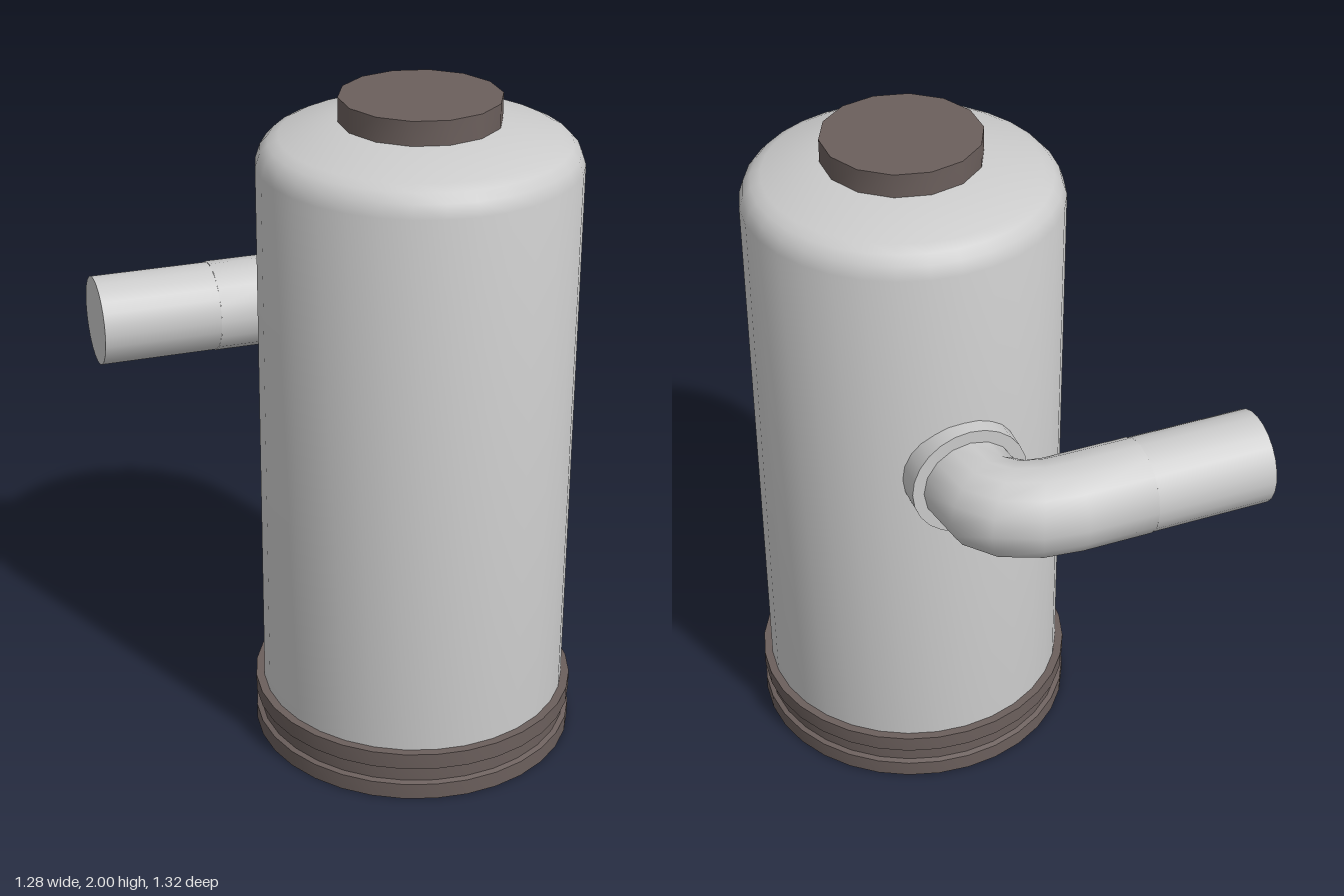
import * as THREE from 'three';
import { toCreasedNormals } from 'three/addons/utils/BufferGeometryUtils.js';

const CX = 0.155, CZ = 0.17, PIPE_Y = 1.145, PIPE_R = 0.14;
const grey = new THREE.MeshStandardMaterial({ color: 0xcccccc });
const brown = new THREE.MeshStandardMaterial({ color: 0x6b5f5c });

function part(name, geometry, material, x, y, z) {
  const mesh = new THREE.Mesh(geometry, material);
  mesh.name = name;
  mesh.position.set(x, y, z);
  return mesh;
}

// Turned part from [radius, height] pairs, listed bottom to top
function turned(profile, sides, crease) {
  const points = profile.map(([r, y]) => new THREE.Vector2(r, y));
  return toCreasedNormals(new THREE.LatheGeometry(points, sides), crease);
}

// Round pipe through [x, z, heading] stations; heading 0 runs along +x, PI/2 along +z
function sweptPipe(stations, radius, sides) {
  const positions = [], index = [];
  stations.forEach(([x, z, a]) => {
    for (let j = 0; j <= sides; j++) {
      const t = (j / sides) * Math.PI * 2;
      const side = radius * Math.cos(t);
      positions.push(x + Math.sin(a) * side, radius * Math.sin(t), z - Math.cos(a) * side);
    }
  });
  const row = sides + 1;
  for (let i = 0; i < stations.length - 1; i++) {
    for (let j = 0; j < sides; j++) {
      const p = i * row + j, q = p + row;
      index.push(p, p + 1, q, p + 1, q + 1, q);
    }
  }
  const geometry = new THREE.BufferGeometry();
  geometry.setAttribute('position', new THREE.Float32BufferAttribute(positions, 3));
  geometry.setIndex(index);
  return toCreasedNormals(geometry, 0.9);
}

export function createModel() {
  const model = new THREE.Group();

  // Grooved base
  model.add(part('base', turned([
    [0, 0], [0.485, 0], [0.485, 0.05], [0.47, 0.055],
    [0.47, 0.1], [0.485, 0.105], [0.485, 0.155], [0, 0.155],
  ], 32, 0.6), brown, CX, 0, CZ));

  // Tank body with rounded shoulder
  model.add(part('tank', turned([
    [0.46, 0.15], [0.46, 1.81], [0.447, 1.848], [0.425, 1.872],
    [0.395, 1.887], [0.23, 1.93], [0, 1.93],
  ], 32, 0.9), grey, CX, 0, CZ));

  // Top cap
  const cap = toCreasedNormals(new THREE.CylinderGeometry(0.23, 0.23, 0.08, 14), 0.8);
  model.add(part('topCap', cap, brown, CX, 1.96, CZ));

  // Outlet collar on the back of the tank
  const collar = new THREE.CylinderGeometry(0.173, 0.173, 0.135, 24);
  collar.rotateX(Math.PI / 2);
  model.add(part('outletCollar', collar, grey, CX, PIPE_Y + 0.005, -0.2675));

  // Elbow turning from the collar towards the right
  const q = Math.PI / 8;
  const elbow = sweptPipe([
    [-0.28, -0.52, 0], [-0.07, -0.52, 0], [0.006, -0.514, q], [0.09, -0.485, 2 * q],
    [0.141, -0.43, 3 * q], [CX, -0.33, 4 * q], [CX, -0.3, 4 * q],
  ], PIPE_R, 16);
  const elbowMesh = part('outletElbow', elbow, grey, 0, PIPE_Y, 0);
  elbowMesh.material = grey.clone();
  elbowMesh.material.side = THREE.DoubleSide;
  model.add(elbowMesh);

  // Closed end sleeve
  const sleeve = new THREE.CylinderGeometry(0.138, 0.138, 0.365, 24);
  sleeve.rotateZ(Math.PI / 2);
  model.add(part('outletSleeve', sleeve, grey, -0.4625, PIPE_Y, -0.52));

  return model;
}
